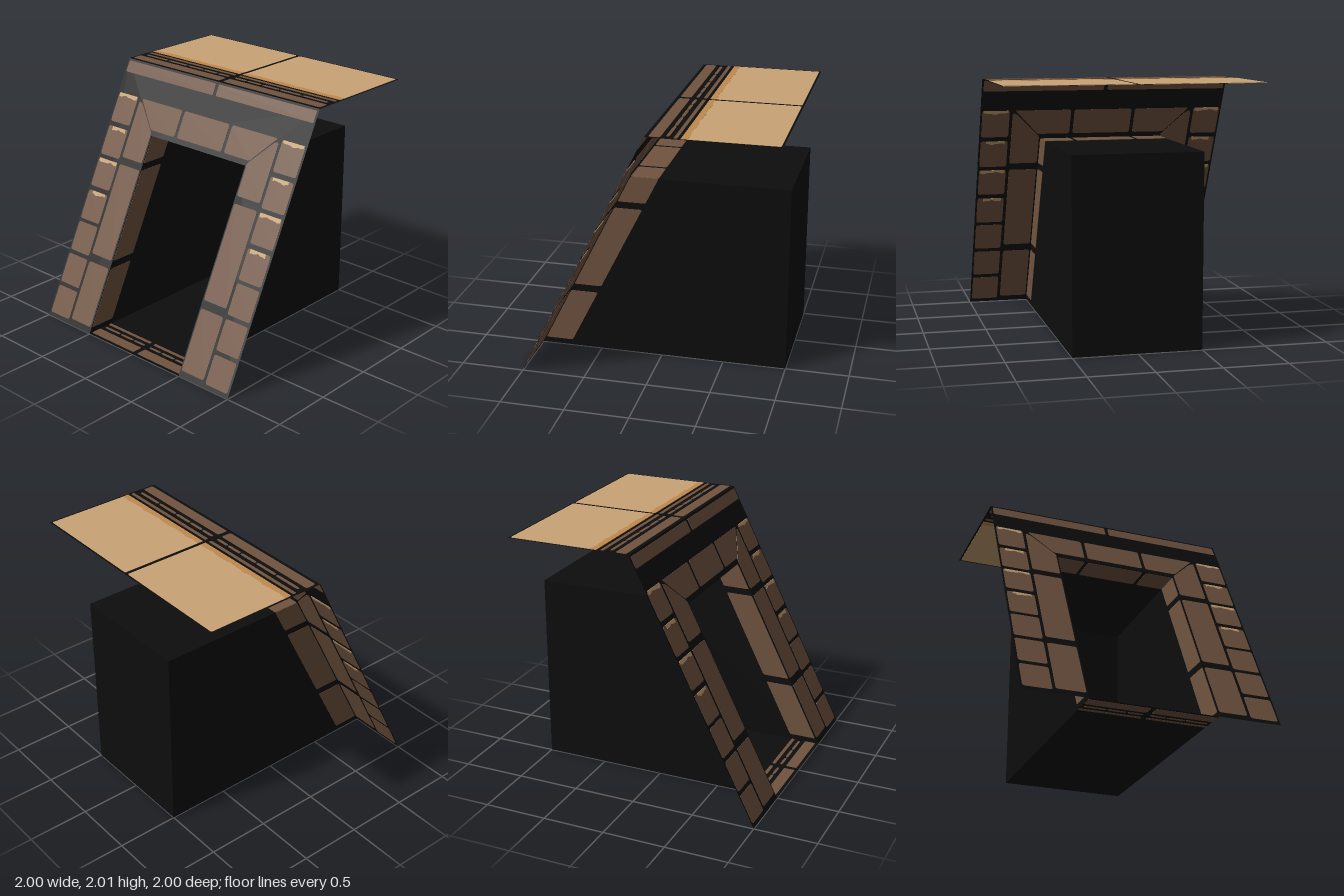
import * as THREE from 'three';

const paint = (name, color) =>
  new THREE.MeshStandardMaterial({ name, color, side: THREE.DoubleSide });

// Sheet frames: local (u, v, depth) to model space
const matrix = (...rows) => new THREE.Matrix4().set(...rows, 0, 0, 0, 1);
const slope = matrix(1, 0, 0, 0, 0, 1, 0, 0, 0, -0.5, 1, 1);
const jamb = (side) => matrix(0, 0, -1, side * 0.5, 0, 1, 0, 0, 1, -0.5, 0, 1);
const level = (y) => matrix(1, 0, 0, 0, 0, 0, -1, y, 0, 1, 0, 0);
const upright = (z) => matrix(1, 0, 0, 0, 0, 1, 0, 0, 0, 0, 1, z);

const outline = (points) => new THREE.Shape(points.map(([x, y]) => new THREE.Vector2(x, y)));
const rect = (x0, y0, x1, y1) => [[x0, y0], [x1, y0], [x1, y1], [x0, y1]];

// Polygon with its corners rounded off
function rounded(points, radius = 0.018) {
  const s = new THREE.Shape();
  const v = points.map(([x, y]) => new THREE.Vector2(x, y));
  v.forEach((p, i) => {
    const prev = v[(i + v.length - 1) % v.length], next = v[(i + 1) % v.length];
    const toward = (q) => p.clone().lerp(q, Math.min(radius / p.distanceTo(q), 0.45));
    const a = toward(prev), b = toward(next);
    if (i === 0) s.moveTo(a.x, a.y); else s.lineTo(a.x, a.y);
    s.quadraticCurveTo(p.x, p.y, b.x, b.y);
  });
  s.closePath();
  return s;
}

// Strip with one straight edge at y0 and one worn, wavy edge near y1
function worn(x0, x1, y0, y1, wave, seed) {
  const points = [[x1, y0], [x0, y0]];
  const n = Math.max(8, Math.round((x1 - x0) * 28));
  for (let i = 0; i <= n; i++) {
    const t = i / n;
    points.push([x0 + (x1 - x0) * t,
      y1 + wave * (0.6 * Math.sin(i * 0.9 + seed) + 0.4 * Math.sin(i * 2.1 + seed * 3))]);
  }
  return outline(points);
}

export function createModel() {
  const model = new THREE.Group();
  const mortar = paint('black mortar', 0x0d0d0d);
  const brown = paint('brown brick', 0x715440);
  const tan = paint('tan stone', 0xcaa375);
  const ochre = paint('ochre edge', 0xc08a4e);

  const add = (name, geometry, material, frame) => {
    const mesh = new THREE.Mesh(geometry.applyMatrix4(frame), material);
    mesh.name = name;
    model.add(mesh);
  };
  const sheet = (name, points, frame) =>
    add(name, new THREE.ShapeGeometry(outline(points)), mortar, frame);
  // Thin plate showing on both sides of its sheet
  const plate = (name, shape, material, frame, thick = 0.005) => {
    const g = new THREE.ExtrudeGeometry(shape, { depth: thick, bevelEnabled: false, curveSegments: 3 });
    add(name, g.translate(0, 0, -thick / 2), material, frame);
  };
  const brick = (name, points, frame, radius) =>
    plate(name, rounded(points, radius), brown, frame);

  // Sloping front with its opening, roof sheet and passage box
  sheet('slopingFront', [[-1, 0], [-0.5, 0], [-0.5, 1.5], [0.5, 1.5], [0.5, 0], [1, 0], [1, 2], [-1, 2]], slope);
  sheet('roof', rect(-1, -1, 1, 0), level(2));
  sheet('passageFloor', rect(-0.5, -1, 0.5, 1), level(0));
  sheet('passageCeiling', rect(-0.5, -1, 0.5, 0.25), level(1.5));
  sheet('passageBack', rect(-0.5, 0, 0.5, 1.5), upright(-1));

  const courses = [[0.03, 0.24], [0.27, 0.49], [0.52, 0.74], [0.765, 0.985],
    [1.02, 1.235], [1.265, 1.485], [1.52, 1.74]];

  for (const side of [-1, 1]) {
    const mirror = (points) => points.map(([x, y]) => [x * side, y]);
    const span = (x0, x1) => (side > 0 ? [x0, x1] : [-x1, -x0]);
    sheet('passageSide', [[0, 0], [0, 1.5], [-1.25, 1.5], [-2, 0]], jamb(side));

    // Outer columns, the upper courses with worn light tops
    courses.forEach(([y0, y1], i) => {
      brick('columnBrick', mirror(rect(0.765, y0, 0.985, y1)), slope);
      if (i > 2) {
        const [a, b] = span(i % 2 ? 0.79 : 0.775, i % 2 ? 0.94 : 0.975);
        plate('wornBrickTop', worn(a, b, y1, y1 - 0.024, 0.009, i + side), tan, slope, 0.008);
      }
    });

    // Door surround with mitred corners
    brick('surroundBrick', mirror(rect(0.512, 0.045, 0.74, 0.49)), slope);
    brick('surroundBrick', mirror(rect(0.512, 0.55, 0.74, 1.235)), slope);
    brick('surroundCorner', mirror([[0.512, 1.29], [0.74, 1.29], [0.74, 1.72], [0.70, 1.705], [0.512, 1.52]]), slope);
    brick('lintelCorner', mirror([[0.265, 1.54], [0.525, 1.54], [0.72, 1.74], [0.265, 1.74]]), slope);

    // Bricks lining the passage sides
    for (const [y0, y1] of [[0.045, 0.49], [0.55, 1.235], [1.29, 1.5]])
      brick('jambBrick', rect(-0.23, y0, -0.008, y1), jamb(side), 0.012);
    brick('ceilingBrick', mirror(rect(0.265, 0.02, 0.5, 0.24)), level(1.5));

    // Threshold courses
    brick('thresholdBrick', mirror(rect(0.02, 0.885, 0.498, 0.975)), level(0), 0.012);
    brick('thresholdCourse', mirror(rect(0.02, 0.765, 0.498, 0.793)), level(0), 0.01);
    for (const [a, b] of [[0.03, 0.15], [0.16, 0.3], [0.31, 0.48]])
      brick('thresholdSliver', mirror(rect(a, 0.828, b, 0.85)), level(0), 0.03);

    // Cornice along the top of the slope and the roof's front edge
    brick('corniceBrick', mirror(rect(0.015, 1.9, 0.985, 1.985)), slope, 0.012);
    brick('roofBrick', mirror(rect(0.02, -0.115, 0.98, -0.028)), level(2));
    brick('roofCourse', mirror(rect(0.02, -0.24, 0.98, -0.212)), level(2), 0.01);
    for (const [a, b] of [[0.03, 0.15], [0.16, 0.3], [0.31, 0.48], [0.49, 0.7], [0.71, 0.95]])
      brick('roofSliver', mirror(rect(a, -0.175, b, -0.15)), level(2), 0.03);

    // Roof slab with a worn front edge
    const [a, b] = span(0.015, 0.985);
    plate('roofSlab', rounded(rect(a, -0.985, b, -0.27), 0.012), tan, level(2));
    plate('roofSlabEdge', worn(a, b, -0.267, -0.315, 0.008, side), ochre, level(2), 0.008);
  }

  // Middle of the lintel
  brick('lintelBrick', rect(-0.237, 1.54, 0.237, 1.74), slope);
  brick('ceilingBrick', rect(-0.237, 0.02, 0.237, 0.24), level(1.5));

  return model;
}
